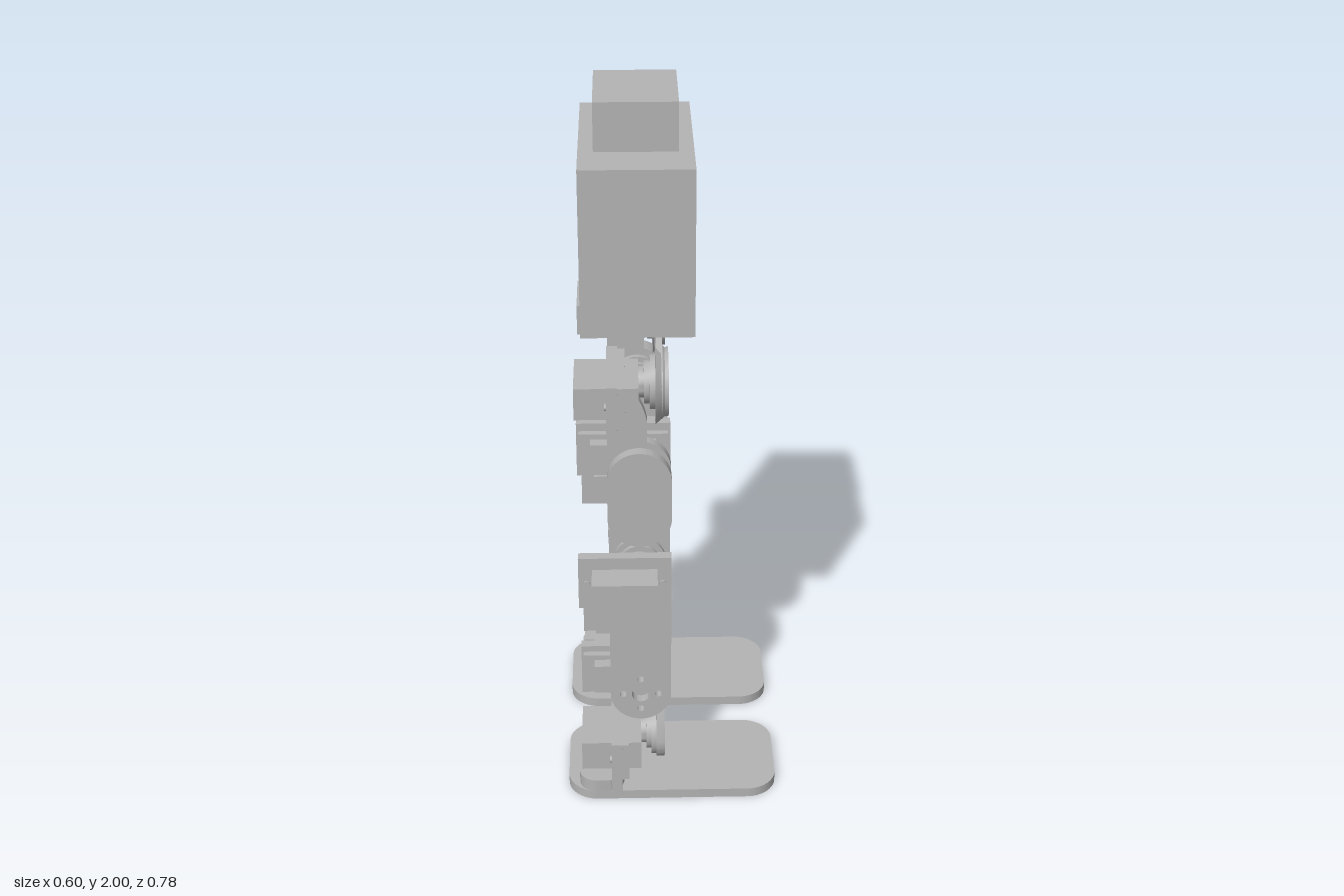
import * as THREE from 'three';
import { toCreasedNormals } from 'three/addons/utils/BufferGeometryUtils.js';

const grey = new THREE.MeshStandardMaterial({ color: 0xb3b3b3 });
grey.name = 'plain grey';

const AXIS_X = -0.09; // pitch joints
const AXIS_Z = 0.222; // roll joints

function add(parent, name, geo, x = 0, y = 0, z = 0) {
  const m = new THREE.Mesh(geo, grey);
  m.name = name;
  m.position.set(x, y, z);
  parent.add(m);
  return m;
}

// box given by its limits
function box(parent, name, x0, x1, y0, y1, z0, z1) {
  return add(parent, name, new THREE.BoxGeometry(Math.abs(x1 - x0), y1 - y0, Math.abs(z1 - z0)),
    (x0 + x1) / 2, (y0 + y1) / 2, (z0 + z1) / 2);
}

function extrude(shape, depth) {
  return toCreasedNormals(
    new THREE.ExtrudeGeometry(shape, { depth, bevelEnabled: false, curveSegments: 16 }), 0.5);
}

// plate lying in x-y between two depths
function plateXY(parent, name, shape, za, zb) {
  return add(parent, name, extrude(shape, Math.abs(zb - za)), 0, 0, Math.min(za, zb));
}

// plate drawn in z-y and facing +x at x1
function plateZY(parent, name, shape, x0, x1) {
  return add(parent, name, extrude(shape, x1 - x0).rotateY(-Math.PI / 2), x1, 0, 0);
}

function hole(shape, x, y, r) {
  shape.holes.push(new THREE.Path().absarc(x, y, r, 0, Math.PI * 2, true));
}

// hub hole with four screw holes around it
function hornHoles(shape, x, y) {
  hole(shape, x, y, 0.026);
  for (let i = 0; i < 4; i++) {
    const a = i * Math.PI / 2;
    hole(shape, x + 0.05 * Math.cos(a), y + 0.05 * Math.sin(a), 0.01);
  }
  return shape;
}

function roundedRect(x0, x1, y0, y1, r) {
  const s = new THREE.Shape();
  s.absarc(x1 - r, y1 - r, r, 0, Math.PI / 2);
  s.absarc(x0 + r, y1 - r, r, Math.PI / 2, Math.PI);
  s.absarc(x0 + r, y0 + r, r, Math.PI, Math.PI * 1.5);
  s.absarc(x1 - r, y0 + r, r, Math.PI * 1.5, Math.PI * 2);
  s.closePath();
  return s;
}

// servo mount at the top, rounded joint at the bottom
function limbShape(top, jointY) {
  const s = new THREE.Shape();
  s.moveTo(-0.26, top);
  s.lineTo(-0.26, top - 0.16);
  s.lineTo(-0.175, top - 0.16);
  s.absarc(AXIS_X, jointY, 0.086, Math.PI, Math.PI * 2);
  s.lineTo(-0.003, top);
  s.closePath();
  return hornHoles(s, AXIS_X, jointY);
}

// servo with output along local z; its body sits off-centre along local x
function servo(parent, name, pos, u, w, plate) {
  const g = new THREE.Group();
  g.name = name;
  const c = 0.042;
  box(g, 'servoBody', c - 0.09, c + 0.09, -0.045, 0.045, -0.085, 0);
  if (plate) box(g, 'servoMount', c - 0.128, c + 0.128, -0.065, 0.065, 0, 0.03);
  box(g, 'servoFlange', c - 0.122, c + 0.122, -0.06, 0.06, 0.03, 0.05);
  box(g, 'servoCase', c - 0.09, c + 0.09, -0.045, 0.045, 0.05, 0.085);
  for (const d of [-0.105, 0.105]) {
    add(g, 'screw', new THREE.CylinderGeometry(0.01, 0.01, 0.04, 12).rotateX(Math.PI / 2), c + d, 0, 0.015);
  }
  const profile = [[0, 0.08], [0.042, 0.08], [0.042, 0.1], [0.058, 0.1], [0.058, 0.115],
    [0.074, 0.115], [0.074, 0.131], [0, 0.131]].map(p => new THREE.Vector2(...p));
  add(g, 'outputHorn', toCreasedNormals(new THREE.LatheGeometry(profile, 32).rotateX(Math.PI / 2).scale(1, 1, 1), 0.5))
    .rotation.y = 0;
  // the turned horn points along +z
  const v = new THREE.Vector3().crossVectors(w, u);
  g.quaternion.setFromRotationMatrix(new THREE.Matrix4().makeBasis(u, v, w));
  g.position.copy(pos);
  parent.add(g);
}

function buildLeg(s) {
  const leg = new THREE.Group();
  leg.name = s > 0 ? 'legOnPlusZ' : 'legOnMinusZ';
  const V = (x, y, z) => new THREE.Vector3(x, y, z);
  const back = V(-1, 0, 0), front = V(1, 0, 0), out = V(0, 0, s), inn = V(0, 0, -s);
  const az = s * AXIS_Z;

  // hip roll joint
  servo(leg, 'hipRollServo', V(-0.175, 1.257, az), out, front, true);
  add(leg, 'hipDisc', new THREE.CylinderGeometry(0.092, 0.114, 0.025, 40).rotateZ(-Math.PI / 2), -0.0325, 1.257, az);
  const cap = hornHoles(new THREE.Shape().absarc(az, 1.257, 0.092, 0, Math.PI * 2), az, 1.257);
  plateZY(leg, 'hipDiscFace', cap, -0.02, -0.01);

  // hip link down to the pitch joint
  const hip = new THREE.Shape();
  hip.moveTo(-0.175, 1.3);
  hip.lineTo(-0.175, 1.035);
  hip.absarc(AXIS_X, 1.035, 0.086, Math.PI, Math.PI * 2);
  hip.absarc(AXIS_X, 1.035, 0.086, 0, Math.PI * 0.42);
  hip.lineTo(-0.068, 1.18);
  hip.quadraticCurveTo(-0.08, 1.25, -0.135, 1.3);
  hip.closePath();
  plateXY(leg, 'hipLink', hornHoles(hip, AXIS_X, 1.035), s * 0.275, s * 0.305);

  // thigh
  servo(leg, 'hipPitchServo', V(AXIS_X, 1.025, s * 0.145), back, out, false);
  plateXY(leg, 'thighLink', limbShape(1.108, 0.685), s * 0.145, s * 0.175);
  plateXY(leg, 'thighSupport', roundedRect(-0.176, -0.003, 0.825, 1.11, 0.0864), s * 0.322, s * 0.355);
  box(leg, 'thighSpacer', -0.175, -0.145, 0.828, 0.87, s * 0.17, s * 0.34);

  // shin
  servo(leg, 'kneeServo', V(AXIS_X, 0.677, s * 0.305), back, inn, false);
  plateXY(leg, 'shinLink', limbShape(0.758, 0.305), s * 0.275, s * 0.305);
  plateXY(leg, 'shinSupport', roundedRect(-0.176, -0.003, 0.455, 0.76, 0.0864), s * 0.095, s * 0.127);
  box(leg, 'shinSpacer', -0.175, -0.145, 0.455, 0.525, s * 0.11, s * 0.29);

  // ankle
  servo(leg, 'anklePitchServo', V(AXIS_X, 0.303, s * 0.145), back, out, false);
  box(leg, 'ankleMount', -0.26, -0.003, 0.222, 0.382, s * 0.145, s * 0.175);
  const ankle = new THREE.Shape();
  ankle.absarc(az, 0.125, 0.082, Math.PI * 0.97, Math.PI * 2.03);
  ankle.lineTo(az + 0.065, 0.222);
  ankle.quadraticCurveTo(az + 0.06, 0.245, az + 0.04, 0.247);
  ankle.lineTo(az - 0.04, 0.247);
  ankle.quadraticCurveTo(az - 0.06, 0.245, az - 0.065, 0.222);
  ankle.closePath();
  plateZY(leg, 'ankleLink', hornHoles(ankle, az, 0.125), -0.046, -0.022);
  servo(leg, 'ankleRollServo', V(-0.175, 0.125, az), out, front, true);

  // foot
  box(leg, 'footUpright', -0.175, -0.145, 0.025, 0.08, s * 0.139, s * 0.392);
  const zs = [s * 0.139, s * 0.39].sort((a, b) => a - b);
  add(leg, 'footMount', extrude(roundedRect(-0.268, -0.14, -zs[1], -zs[0], 0.05), 0.04).rotateX(-Math.PI / 2), 0, 0.025, 0);
  const zf = [s * 0.06, s * 0.39].sort((a, b) => a - b);
  add(leg, 'foot', extrude(roundedRect(-0.3, 0.298, -zf[1], -zf[0], 0.085), 0.028).rotateX(-Math.PI / 2));
  return leg;
}

export function createModel() {
  const model = new THREE.Group();
  model.name = 'walkingRobot';

  // hollow torso, open at the back
  const torso = new THREE.Group();
  torso.name = 'torso';
  model.add(torso);
  box(torso, 'torsoFront', 0.03, 0.06, 1.407, 1.868, -0.268, 0.268);
  box(torso, 'torsoTop', -0.21, 0.03, 1.838, 1.868, -0.268, 0.268);
  box(torso, 'torsoBottom', -0.21, 0.03, 1.407, 1.437, -0.268, 0.268);
  for (const s of [-1, 1]) box(torso, 'torsoSide', -0.21, 0.03, 1.437, 1.838, s * 0.238, s * 0.268);
  const frame = new THREE.Shape([[-0.268, 1.407], [0.268, 1.407], [0.268, 1.868], [-0.268, 1.868]]
    .map(p => new THREE.Vector2(...p)));
  frame.holes.push(new THREE.Path([[-0.19, 1.5], [-0.19, 1.765], [0.19, 1.765], [0.19, 1.5]]
    .map(p => new THREE.Vector2(...p))));
  plateZY(torso, 'torsoBackFrame', frame, -0.24, -0.21);
  for (const y of [1.54, 1.62]) box(torso, 'shelf', -0.2, 0.03, y, y + 0.025, -0.238, 0.238);

  // head with recessed eyes
  box(model, 'head', -0.2, -0.03, 1.868, 2, -0.135, 0.135);
  const face = new THREE.Shape([[-0.135, 1.868], [0.135, 1.868], [0.135, 2], [-0.135, 2]]
    .map(p => new THREE.Vector2(...p)));
  for (const s of [-1, 1]) hole(face, s * 0.067, 1.943, 0.032);
  plateZY(model, 'face', face, -0.03, 0.02);

  // pelvis plate
  const pelvis = new THREE.Shape();
  pelvis.moveTo(-0.225, 1.41);
  pelvis.lineTo(-0.245, 1.35);
  pelvis.absarc(-AXIS_Z, 1.257, 0.1, Math.PI * 0.6, Math.PI * 2);
  pelvis.lineTo(0, 1.304);
  pelvis.absarc(AXIS_Z, 1.257, 0.1, Math.PI, Math.PI * 2.4);
  pelvis.lineTo(0.225, 1.41);
  pelvis.closePath();
  plateZY(model, 'pelvis', pelvis, -0.044, -0.026);

  for (const s of [1, -1]) model.add(buildLeg(s));
  return model;
}
